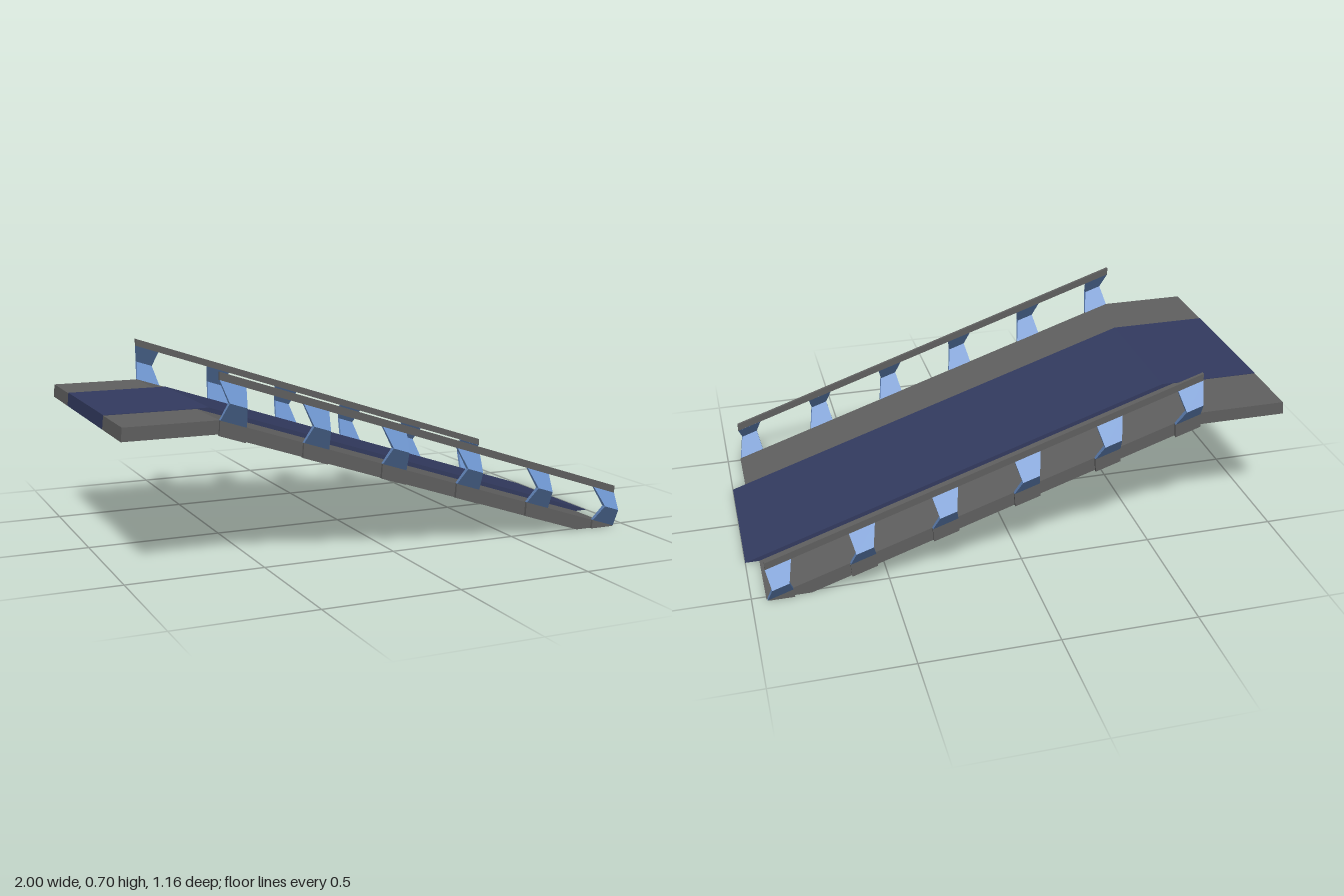
import * as THREE from 'three';

const grey = new THREE.MeshStandardMaterial({ color: 0x606060, flatShading: true });
const navy = new THREE.MeshStandardMaterial({ color: 0x333b60, flatShading: true });
const blue = new THREE.MeshStandardMaterial({ color: 0x6c93cc, flatShading: true });

const SLOPE = 0.334;
const deckY = (x) => 0.535 - (x + 0.66) * 0.332;
const railY = (x) => 0.7 - (x + 0.66) * 0.336;

// Side profile in x/y, extruded between two z values
function slab(name, points, z0, z1, material) {
  const shape = new THREE.Shape(points.map(([x, y]) => new THREE.Vector2(x, y)));
  const geometry = new THREE.ExtrudeGeometry(shape, { depth: z1 - z0, bevelEnabled: false });
  geometry.translate(0, 0, z0);
  const mesh = new THREE.Mesh(geometry, material);
  mesh.name = name;
  return mesh;
}

// Same, mirrored to the chosen side of the ramp
function sideSlab(name, points, inner, outer, side) {
  const z = [inner * side, outer * side].sort((a, b) => a - b);
  return slab(name, points, z[0], z[1], grey);
}

// Post that bows outward at mid-height and is sheared along the slope
function post(x, side) {
  const levels = [
    { y: deckY(x), half: 0.047, inner: 0.513, outer: 0.527 },
    { y: deckY(x) + 0.07, half: 0.031, inner: 0.562, outer: 0.58 },
    { y: railY(x) - 0.028, half: 0.047, inner: 0.515, outer: 0.527 },
  ];
  const geometry = new THREE.BoxGeometry(1, 1, 1, 1, 2, 1);
  const p = geometry.attributes.position;
  for (let i = 0; i < p.count; i++) {
    const level = levels[Math.round(p.getY(i) * 2) + 1];
    const dx = p.getX(i) * 2 * level.half;
    const z = p.getZ(i) * side > 0 ? level.outer : level.inner;
    p.setXYZ(i, x + dx, Math.max(0, level.y - dx * SLOPE), z * side);
  }
  geometry.computeVertexNormals();
  const mesh = new THREE.Mesh(geometry, blue);
  mesh.name = 'railPost';
  return mesh;
}

export function createModel() {
  const group = new THREE.Group();
  group.name = 'ramp';

  // Central walkway, running a little further out than the sides
  group.add(slab('walkway', [
    [-1, 0.487], [-0.625, 0.487], [0.83, 0], [1, 0], [-0.615, 0.537], [-0.995, 0.537],
  ], -0.268, 0.268, navy));

  for (const side of [1, -1]) {
    // Deck border
    group.add(sideSlab('deckBorder', [
      [-1, 0.487], [-0.67, 0.487], [0.785, 0], [0.948, 0], [-0.66, 0.535], [-0.995, 0.535],
    ], 0.268, 0.515, side));

    // Handrail
    group.add(sideSlab('handrail', [
      [-0.662, 0.672], [0.945, 0.133], [0.945, 0.161], [-0.662, 0.7],
    ], 0.515, 0.527, side));

    // Posts with a shallow bracket on the deck edge below each one
    for (let i = 0; i < 6; i++) {
      const x = -0.615 + i * 0.3025;
      group.add(post(x, side));
      const a = x - 0.047, b = x + 0.047;
      const low = (v) => Math.max(0, deckY(v) - 0.053);
      group.add(sideSlab('postBracket', [
        [a - 0.004, low(a)], [b - 0.004, low(b)], [b, Math.max(0.002, deckY(b))], [a, deckY(a)],
      ], 0.51, 0.526, side));
    }
  }
  return group;
}
